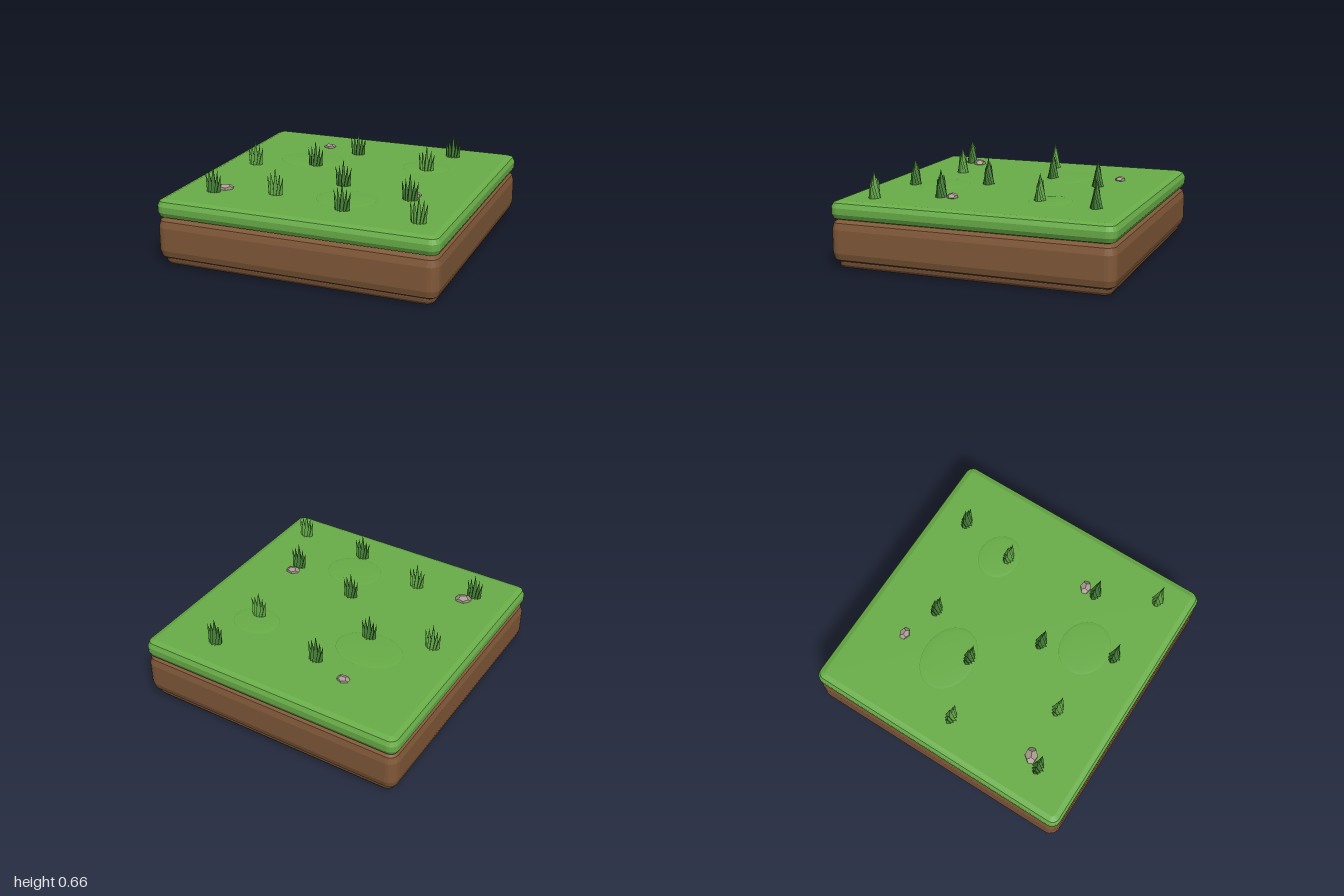
import * as THREE from 'three';

const mat = (name, color, flatShading = false) => {
  const m = new THREE.MeshStandardMaterial({ color, flatShading });
  m.name = name;
  return m;
};

// Square slab with rounded corners and a two-step bevel, from y0 to y1
function slab(name, half, y0, y1, radius, bevel, rise, material) {
  const h = half - bevel, r = radius - bevel;
  const s = new THREE.Shape();
  s.moveTo(h, -h + r);
  s.lineTo(h, h - r);
  s.absarc(h - r, h - r, r, 0, Math.PI / 2);
  s.absarc(-h + r, h - r, r, Math.PI / 2, Math.PI);
  s.absarc(-h + r, -h + r, r, Math.PI, Math.PI * 1.5);
  s.absarc(h - r, -h + r, r, Math.PI * 1.5, Math.PI * 2);
  const g = new THREE.ExtrudeGeometry(s, {
    depth: y1 - y0 - 2 * rise, bevelEnabled: true, bevelSize: bevel,
    bevelThickness: rise, bevelSegments: 2, curveSegments: 2,
  });
  g.rotateX(-Math.PI / 2).translate(0, y0 + rise, 0);
  const mesh = new THREE.Mesh(g, material);
  mesh.name = name;
  return mesh;
}

// One four-sided blade whose tip is pushed sideways
function blade(x, height, rx, rz, lean) {
  const g = new THREE.ConeGeometry(1, 1, 4, 1).translate(0, 0.5, 0).scale(rx, height, rz);
  const p = g.attributes.position;
  for (let i = 0; i < p.count; i++) p.setX(i, p.getX(i) + x + lean * p.getY(i) / height);
  g.computeVertexNormals();
  return g;
}

export function createModel() {
  const model = new THREE.Group();
  model.name = 'grassTile';
  const grass = mat('grass', 0x69ae48);
  const soil = mat('soil', 0x805838);
  const deepSoil = mat('deepSoil', 0x6e4a30);
  const darkBlade = mat('darkBlade', 0x437f35, true);
  const lightBlade = mat('lightBlade', 0x5fa545, true);
  const stone = mat('stone', 0xa99c90, true);
  const top = 0.468;

  // Ground layers
  model.add(
    slab('soilBase', 0.965, 0, 0.07, 0.065, 0.035, 0.025, deepSoil),
    slab('soilLayer', 1, 0.045, 0.337, 0.075, 0.045, 0.065, soil),
    slab('grassLayer', 1, 0.335, top, 0.07, 0.053, 0.045, grass),
  );

  // Very shallow mounds: x, z, radius x, radius z
  const dome = new THREE.SphereGeometry(1, 24, 6, 0, Math.PI * 2, 0, Math.PI / 2);
  [[-0.385, -0.27, 0.25, 0.19], [0.465, -0.395, 0.175, 0.15], [0.195, 0.5, 0.21, 0.18]]
    .forEach(([x, z, rx, rz]) => {
      const m = new THREE.Mesh(dome, grass);
      m.name = 'mound';
      m.position.set(x, top - 0.001, z);
      m.scale.set(rx, 0.008, rz);
      model.add(m);
    });

  // Tufts: five blades fanned along x
  const blades = [
    blade(0, 0.195, 0.022, 0.045, 0),
    ...[-1, 1].flatMap(s => [
      blade(s * 0.02, 0.155, 0.018, 0.037, s * 0.014),
      blade(s * 0.036, 0.138, 0.016, 0.026, s * 0.024),
    ]),
  ];
  const tufts = [
    [0.567, -0.745, 0], [-0.128, -0.545, 0], [0.49, -0.33, 1], [-0.31, -0.145, 0],
    [-0.738, -0.015, 1], [0.06, 0.22, 0], [0.594, 0.348, 0], [-0.294, 0.578, 1],
    [-0.716, 0.68, 0], [0.25, 0.71, 0], [0.79, 0.754, 1],
  ];
  for (const [x, z, light] of tufts) {
    const tuft = new THREE.Group();
    tuft.name = 'grassTuft';
    tuft.position.set(x, top - 0.003, z);
    for (const g of blades) {
      const b = new THREE.Mesh(g, light ? lightBlade : darkBlade);
      b.name = 'blade';
      tuft.add(b);
    }
    model.add(tuft);
  }

  // Pebbles: x, z, radius, turn
  const rock = new THREE.DodecahedronGeometry(1, 0);
  [[-0.4, -0.635, 0.047, 0.4], [0.596, 0.265, 0.052, 1.3], [-0.668, 0.598, 0.06, 2.2]]
    .forEach(([x, z, r, turn]) => {
      const p = new THREE.Mesh(rock, stone);
      p.name = 'pebble';
      p.position.set(x, top + 0.006, z);
      p.scale.set(r, r * 0.5, r * 0.82);
      p.rotation.y = turn * 0.2;
      model.add(p);
    });

  return model;
}
